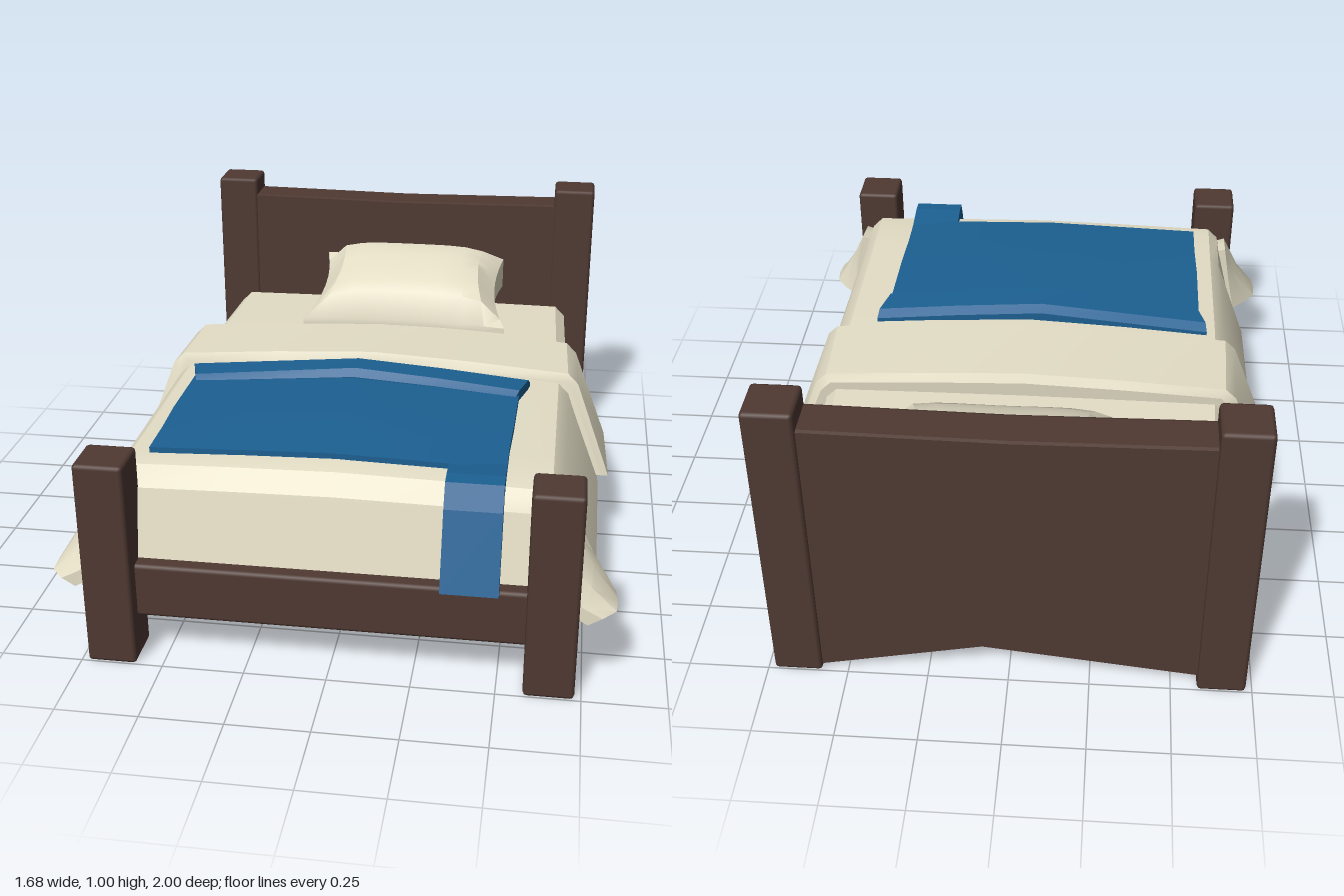
import * as THREE from 'three';
import { mergeVertices, toCreasedNormals } from 'three/addons/utils/BufferGeometryUtils.js';
import { RoundedBoxGeometry } from 'three/addons/geometries/RoundedBoxGeometry.js';

const material = (name, color) => {
  const m = new THREE.MeshStandardMaterial({ color });
  m.name = name;
  return m;
};

// Joins closed counter-clockwise [x, y, z] rings that advance along +z, and caps both ends
function loft(rings) {
  const n = rings[0].length, index = [];
  for (let r = 0; r < rings.length - 1; r++) {
    for (let i = 0; i < n; i++) {
      const a = r * n + i, b = r * n + (i + 1) % n;
      index.push(a, b, b + n, a, b + n, a + n);
    }
  }
  const cap = (ring, start, flip) => {
    const flat = ring.map(p => new THREE.Vector2(p[0], p[1]));
    for (const [a, b, c] of THREE.ShapeUtils.triangulateShape(flat, [])) {
      index.push(start + a, start + (flip ? c : b), start + (flip ? b : c));
    }
  };
  cap(rings[0], 0, true);
  cap(rings[rings.length - 1], (rings.length - 1) * n, false);
  const g = new THREE.BufferGeometry();
  g.setAttribute('position', new THREE.Float32BufferAttribute(rings.flat(2), 3));
  g.setIndex(index);
  return toCreasedNormals(g, 0.5);
}

// Draped section: low hems at x = +-hem, shoulders, a crowned top and a raised floor between the hems
function drape(z, hem, low, shoulder, top, crown, skew = 0) {
  const half = [[hem - 0.06, 0.32], [hem - 0.06, low], [hem, low], [shoulder + 0.035, top - 0.035],
    [shoulder, top], [shoulder * 0.5, top + crown * 0.6]];
  const all = [...half, [0, top + crown], ...half.slice().reverse().map(([x, y]) => [-x, y])];
  return all.map(([x, y]) => [x, y, z + (top - y) * skew]);
}

// Thin crowned slab section
function slab(z, x0, x1, edge, crown, thick) {
  const ring = [];
  const y = x => edge + crown * (1 - Math.abs(x) / 0.6);
  const xs = [0, 0.25, 0.5, 0.75, 1].map(t => x1 + (x0 - x1) * t);
  xs.forEach(x => ring.push([x, y(x), z]));
  xs.reverse().forEach(x => ring.push([x, y(x) - thick, z]));
  return ring;
}

export function createModel() {
  const wood = material('dark wood', 0x4f3932);
  const linen = material('cream linen', 0xe4dec6);
  const blue = material('blue cloth', 0x1c6092);
  const base = material('grey underside', 0x98927f);
  const bed = new THREE.Group();
  bed.name = 'bed';

  const add = (name, geometry, mat) => {
    const mesh = new THREE.Mesh(geometry, mat);
    mesh.name = name;
    bed.add(mesh);
    return mesh;
  };
  const box = (name, x0, x1, y0, y1, z0, z1, mat, radius = 0.012) => {
    const mesh = add(name, new RoundedBoxGeometry(x1 - x0, y1 - y0, z1 - z0, 1, radius), mat);
    mesh.position.set((x0 + x1) / 2, (y0 + y1) / 2, (z0 + z1) / 2);
  };

  // Posts and side rails
  for (const s of [-1, 1]) {
    const side = s > 0 ? 'left' : 'right';
    const pair = (a, b) => (s > 0 ? [a, b] : [-b, -a]);
    box(side + 'HeadPost', ...pair(0.58, 0.73), 0, 1, -1, -0.85, wood);
    box(side + 'FootPost', ...pair(0.58, 0.73), 0, 0.66, 0.85, 1, wood);
    box(side + 'SideRail', ...pair(0.59, 0.715), 0.14, 0.315, -0.88, 0.9, wood);
  }
  box('footRail', -0.6, 0.6, 0.14, 0.315, 0.84, 0.95, wood);
  box('underside', -0.62, 0.62, 0.28, 0.295, -0.87, 0.86, base, 0.005);

  // Headboard with an uneven arched lower edge
  const board = new THREE.Shape([[-0.6, 0.05], [0.08, 0.13], [0.6, 0.015], [0.6, 0.935], [0, 0.927], [-0.6, 0.935]]
    .map(p => new THREE.Vector2(...p)));
  add('headboard', new THREE.ExtrudeGeometry(board, {
    depth: 0.112, bevelEnabled: true, bevelSegments: 1, bevelSize: 0.004, bevelThickness: 0.01,
  }), wood).position.z = -0.978;
  const corner = new THREE.Shape([[0.08, 0.135], [0.58, 0.02], [0.58, 0.135]].map(p => new THREE.Vector2(...p)));
  add('headboardCornerPlate', new THREE.ExtrudeGeometry(corner, { depth: 0.004, bevelEnabled: false }), base)
    .position.z = -0.857;

  // Mattress with slanting sides
  add('mattress', loft([
    drape(-0.86, 0.645, 0.3, 0.57, 0.515, 0),
    drape(-0.8, 0.66, 0.3, 0.605, 0.55, 0.005),
    drape(-0.2, 0.68, 0.3, 0.625, 0.56, 0.005),
  ]), linen);

  // Blanket, rolling over at its foot end
  add('blanket', loft([
    drape(-0.2, 0.77, 0.25, 0.63, 0.58, 0.035),
    drape(0.1, 0.785, 0.25, 0.635, 0.58, 0.04),
    drape(0.6, 0.78, 0.25, 0.635, 0.58, 0.035),
    drape(0.76, 0.745, 0.26, 0.635, 0.585, 0.02),
    drape(0.81, 0.73, 0.26, 0.635, 0.58, 0.015),
    drape(0.865, 0.72, 0.27, 0.61, 0.53, 0.01, 0.22),
  ]), linen);

  // Turned-down blanket band
  add('blanketFold', loft([
    drape(-0.285, 0.78, 0.29, 0.64, 0.585, 0.03, 0.07),
    drape(-0.27, 0.805, 0.28, 0.655, 0.61, 0.035, 0.07),
    drape(0.01, 0.82, 0.255, 0.665, 0.61, 0.04, 0.1),
    drape(0.025, 0.795, 0.26, 0.65, 0.585, 0.035, 0.1),
  ]), linen);

  // Loose blanket corners flaring around the foot posts: z, hem, top
  const flap = [[0.73, 0.75, 0.54], [0.78, 0.8, 0.535], [0.83, 0.835, 0.53], [0.88, 0.84, 0.5],
    [0.94, 0.835, 0.42], [0.985, 0.795, 0.33]];
  for (const s of [-1, 1]) {
    const rings = flap.map(([z, out, top]) => {
      const ring = [[0.7, 0.28, z], [out - 0.04, 0.25, z], [out, 0.275, z],
        [0.7 + (out - 0.7) * 0.45, 0.275 + (top - 0.275) * 0.5, z], [0.7, top, z], [0.67, top - 0.01, z]];
      return s > 0 ? ring : ring.map(([x, y, w]) => [-x, y, w]).reverse();
    });
    add(s > 0 ? 'leftBlanketCorner' : 'rightBlanketCorner', loft(rings), linen);
  }

  // Blue throw, its folded top edge and the tail hanging over the foot
  add('throw', loft([
    slab(0.16, -0.58, 0.51, 0.6, 0.045, 0.035),
    slab(0.45, -0.58, 0.505, 0.605, 0.045, 0.035),
    slab(0.6, -0.575, 0.5, 0.605, 0.035, 0.035),
    slab(0.745, -0.575, 0.5, 0.605, 0.02, 0.04),
  ]), blue);
  add('throwFold', loft([
    slab(0.08, -0.605, 0.54, 0.595, 0.055, 0.03),
    slab(0.11, -0.6, 0.535, 0.615, 0.055, 0.05),
    slab(0.205, -0.57, 0.51, 0.615, 0.06, 0.05),
    slab(0.225, -0.565, 0.5, 0.6, 0.05, 0.03),
  ]), blue);
  const tail = [[0.72, 0.61], [0.82, 0.622], [0.87, 0.618], [0.91, 0.55], [0.99, 0.32],
    [0.96, 0.31], [0.88, 0.5], [0.85, 0.575], [0.72, 0.58]];
  const tailShape = new THREE.Shape(tail.map(([z, y]) => new THREE.Vector2(-z, y)));
  const tailGeometry = new THREE.ExtrudeGeometry(tailShape, { depth: 0.17, bevelEnabled: false });
  tailGeometry.rotateY(Math.PI / 2);
  add('throwTail', tailGeometry, blue).position.x = 0.33;

  // Pillow: flat below, puffed above, thicker towards the headboard, with drawn-out corners
  let pillow = new THREE.BoxGeometry(2, 2, 2, 10, 1, 8);
  pillow.deleteAttribute('uv');
  pillow.deleteAttribute('normal');
  pillow = mergeVertices(pillow);
  const p = pillow.attributes.position;
  for (let i = 0; i < p.count; i++) {
    const u = p.getX(i), v = p.getZ(i);
    const puff = Math.sqrt(Math.max(0, (1 - u ** 4) * (1 - v ** 4)));
    const rise = (1 - v) / 2;
    p.setXYZ(i,
      0.05 + u * (0.36 + 0.015 * v) * (1 - 0.1 * (1 - v * v)),
      p.getY(i) > 0 ? 0.59 + 0.13 * rise + 0.1 * puff : 0.57 + 0.04 * rise * u ** 4 - 0.015 * puff,
      -0.635 + v * 0.205 * (1 - (v > 0 ? 0.16 : 0.03) * (1 - u * u)));
  }
  add('pillow', toCreasedNormals(pillow, 0.6), linen);

  return bed;
}
